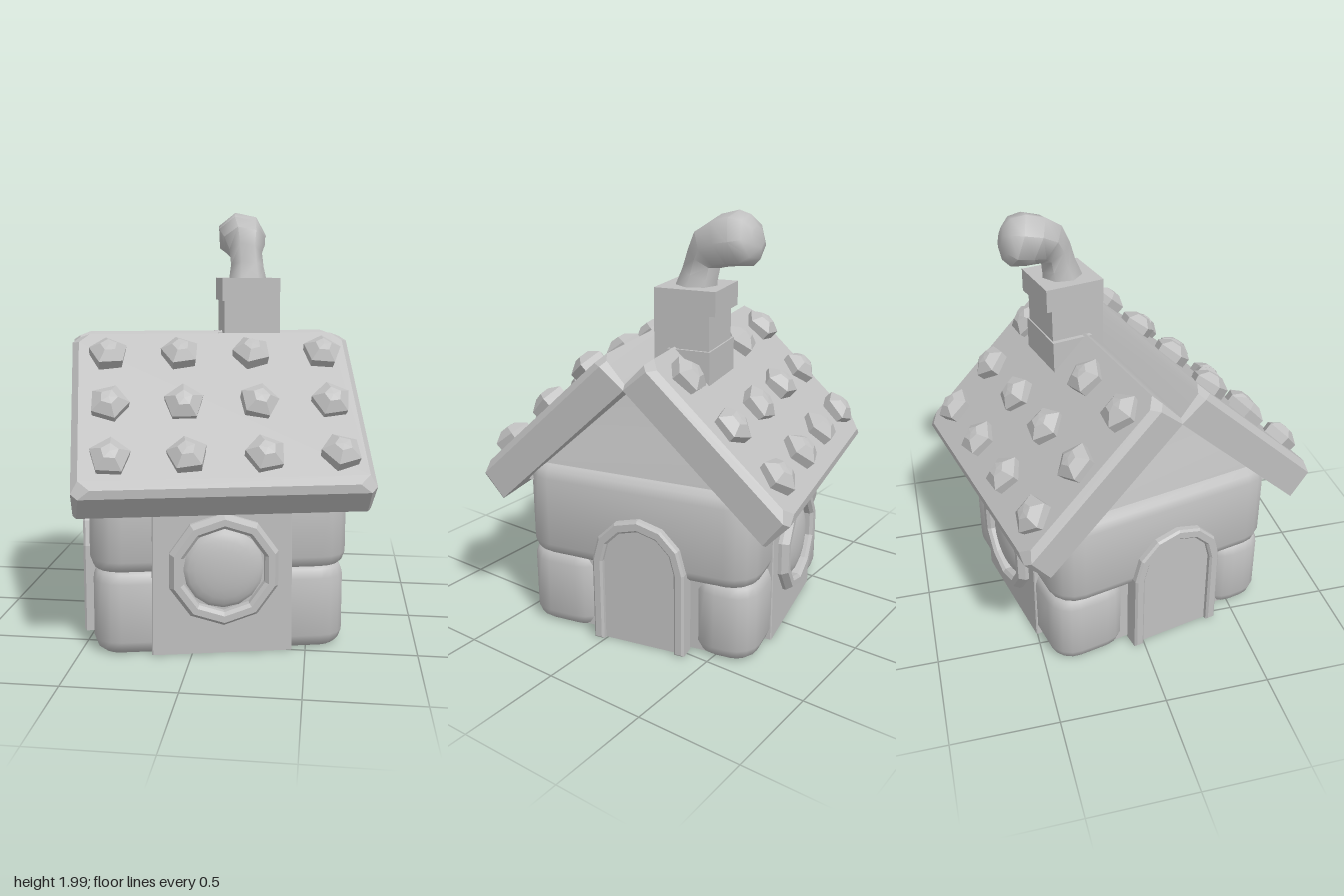
import * as THREE from 'three';
import { toCreasedNormals } from 'three/addons/utils/BufferGeometryUtils.js';

// Skin a list of equal-length rings (counter-clockwise seen from the last ring) and cap both ends.
function loft(rings) {
  const n = rings[0].length, pos = [], idx = [];
  rings.forEach(r => r.forEach(p => pos.push(p.x, p.y, p.z)));
  for (let k = 0; k < rings.length - 1; k++) for (let i = 0; i < n; i++) {
    const a = k * n + i, b = k * n + (i + 1) % n;
    idx.push(a, b, b + n, a, b + n, a + n);
  }
  const top = (rings.length - 1) * n;
  for (let i = 1; i < n - 1; i++) idx.push(0, i + 1, i, top, top + i, top + i + 1);
  const g = new THREE.BufferGeometry();
  g.setAttribute('position', new THREE.Float32BufferAttribute(pos, 3));
  g.setIndex(idx);
  return g;
}

// Rectangle with cut corners in the xz plane
function cutRect(w, d, c, y) {
  return [[w, d - c], [w, c - d], [w - c, -d], [c - w, -d], [-w, c - d], [-w, d - c], [c - w, d], [w - c, d]]
    .map(([x, z]) => new THREE.Vector3(x, y, z));
}

// Rectangle with round corners in the xz plane
function roundRect(w, d, r, y) {
  const pts = [], steps = 4;
  [[1, 1], [1, -1], [-1, -1], [-1, 1]].forEach(([sx, sz], q) => {
    for (let i = 0; i <= steps; i++) {
      const a = Math.PI / 2 * (1 - q - i / steps);
      pts.push(new THREE.Vector3(sx * (w - r) + r * Math.cos(a), y, sz * (d - r) + r * Math.sin(a)));
    }
  });
  return pts;
}

// Puffy block between two heights: soft shoulders, rounded plan
function puffBlock(w, d, r, y0, y1) {
  const profile = [[y0, 0.04], [y0 + 0.02, 0.015], [y0 + 0.06, 0], [y1 - 0.06, 0], [y1 - 0.02, 0.015], [y1, 0.04]];
  return loft(profile.map(([y, inset]) => roundRect(w - inset, d - inset, r - inset, y)));
}

// Arch outline, from lower right over the top to lower left
function archPoints(r, spring) {
  const pts = [new THREE.Vector2(r, 0.01)];
  for (let i = 0; i <= 6; i++) {
    const a = Math.PI * i / 6;
    pts.push(new THREE.Vector2(r * Math.cos(a), spring + r * Math.sin(a)));
  }
  pts.push(new THREE.Vector2(-r, 0.01));
  return pts;
}

export function createModel() {
  const grey = new THREE.MeshStandardMaterial({ color: 0xc0c0c0 });
  grey.name = 'plain grey';
  const model = new THREE.Group();
  const house = new THREE.Group();
  house.name = 'house';
  house.rotation.y = 0.227;
  model.add(house);

  const add = (parent, name, geo, x = 0, y = 0, z = 0) => {
    const m = new THREE.Mesh(geo, grey);
    m.name = name;
    m.position.set(x, y, z);
    parent.add(m);
    return m;
  };
  const crease = (g, a = 0.6) => toCreasedNormals(g, a);
  let seed = 7;
  const rand = () => (seed = (seed * 16807) % 2147483647) / 2147483647;

  // Core and puffy walls
  add(house, 'core', crease(loft([cutRect(0.535, 0.55, 0.1, 0.02), cutRect(0.535, 0.55, 0.1, 0.8)])));
  add(house, 'upperWall', crease(puffBlock(0.585, 0.58, 0.14, 0.375, 0.83), 0.8));
  for (const sx of [-1, 1]) for (const sz of [-1, 1]) {
    const depth = sx * sz > 0 ? 0.38 : 0.31; // the doors sit a little off centre
    add(house, 'cornerBlock', crease(puffBlock(0.19, depth / 2, 0.12, 0.008, 0.395), 0.8),
      sx * 0.38, 0, sz * (0.58 - depth / 2));
  }

  // Gable leaning softly inwards towards the ridge
  const gable = [[0.55, 0.56, 0.74], [0.525, 0.47, 0.85], [0.48, 0.31, 1], [0.44, 0.15, 1.15], [0.41, 0.01, 1.28]]
    .map(([w, d, y]) => cutRect(w, d, 0.005, y));
  add(house, 'gable', crease(loft(gable), 0.5));

  // Roof slab with bevelled upper rim; origin at the centre of its top face
  const slabTop = cutRect(0.625, 0.44, 0.05, 0.01);
  slabTop.forEach(p => { p.z -= 0.01; });
  const slabGeo = crease(loft([cutRect(0.65, 0.455, 0.015, -0.165), cutRect(0.655, 0.455, 0.03, -0.02), slabTop]), 0.3);
  // Five-sided sweet
  const dropGeo = new THREE.LatheGeometry(
    [[0.086, -0.02], [0.092, 0.05], [0.04, 0.085], [0, 0.088]].map(p => new THREE.Vector2(...p)), 5);
  const drop = crease(dropGeo, 0.1);

  // Window ring with a chamfered section
  const ringGeo = new THREE.LatheGeometry(
    [[0.255, -0.06], [0.255, 0.02], [0.235, 0.05], [0.205, 0.05], [0.19, 0.035], [0.19, -0.06]]
      .map(p => new THREE.Vector2(...p)), 10);
  ringGeo.rotateX(Math.PI / 2);
  const ring = crease(ringGeo, 0.3);
  const dome = new THREE.SphereGeometry(0.185, 16, 6, 0, Math.PI * 2, 0, Math.PI / 2);
  dome.scale(1, 0.3, 1);
  dome.rotateX(Math.PI / 2);

  // Front and back halves: slab, sweets, window
  for (const side of [0, 1]) {
    const half = new THREE.Group();
    half.name = side ? 'backHalf' : 'frontHalf';
    half.rotation.y = side * Math.PI;
    house.add(half);

    const roof = new THREE.Group();
    roof.name = 'roof';
    roof.position.set(0, 1.092, 0.432);
    roof.rotation.x = 0.757;
    half.add(roof);
    add(roof, 'roofSlab', slabGeo);
    for (let row = 0; row < 3; row++) for (let col = 0; col < 4; col++) {
      if (side && row === 0 && col === 1) continue; // chimney stands here
      const d = add(roof, 'sweet', drop, -0.49 + col / 3, 0, -0.305 + row * 0.29);
      d.rotation.set((rand() - 0.5) * 0.3, rand() * 6.28, (rand() - 0.5) * 0.3);
    }

    const panel = loft([cutRect(0.315, 0.05, 0.005, 0), cutRect(0.31, 0.045, 0.005, 0.75)]);
    add(half, 'windowPanel', crease(panel, 0.3), 0, 0.01, 0.54);
    add(half, 'windowFrame', ring, 0.005, 0.4, 0.585);
    add(half, 'windowPane', dome, 0.005, 0.4, 0.575);
  }

  // Doors on both gable ends
  const outer = archPoints(0.23, 0.425), inner = archPoints(0.18, 0.42);
  const frameGeo = new THREE.ExtrudeGeometry(new THREE.Shape([...outer, ...inner.slice().reverse()]),
    { depth: 0.08, bevelEnabled: true, bevelThickness: 0.01, bevelSize: 0.01, bevelOffset: -0.01, bevelSegments: 1 });
  const doorGeo = new THREE.ExtrudeGeometry(new THREE.Shape(archPoints(0.19, 0.42)),
    { depth: 0.07, bevelEnabled: false });
  for (const s of [-1, 1]) {
    const door = new THREE.Group();
    door.name = s > 0 ? 'leftDoor' : 'rightDoor';
    door.rotation.y = s * Math.PI / 2;
    door.position.z = -s * 0.035;
    house.add(door);
    add(door, 'doorFrame', frameGeo, 0, 0, 0.53);
    add(door, 'doorPanel', doorGeo, 0, 0, 0.522);
  }

  // Chimney, flush at the front and stepped at the back
  const chimney = new THREE.Group();
  chimney.name = 'chimney';
  chimney.position.set(0.21, 0, -0.157);
  house.add(chimney);
  add(chimney, 'chimneyBase', new THREE.BoxGeometry(0.31, 0.2, 0.2), 0, 1.3, -0.025);
  add(chimney, 'chimneyStack', new THREE.BoxGeometry(0.275, 0.36, 0.262), 0.005, 1.38, 0.014);
  add(chimney, 'chimneyCap', new THREE.BoxGeometry(0.285, 0.11, 0.29), 0, 1.612, 0);

  // Smoke puff: seven-sided rings along a bending path, [x, y, z, radius, tilt]
  const puff = [
    [0.17, 1.64, -0.2, 0.1, 0.15], [0.165, 1.72, -0.22, 0.085, 0.35], [0.155, 1.79, -0.235, 0.085, 0.6],
    [0.145, 1.835, -0.265, 0.108, 0.95], [0.125, 1.865, -0.33, 0.123, 1.15], [0.12, 1.88, -0.41, 0.128, 1.25],
    [0.12, 1.89, -0.46, 0.1, 1.3], [0.12, 1.895, -0.485, 0.05, 1.3],
  ].map(([x, y, z, r, tilt]) => Array.from({ length: 7 }, (_, i) => {
    const a = -i / 7 * Math.PI * 2;
    return new THREE.Vector3(r * Math.cos(a), 0, r * Math.sin(a))
      .applyAxisAngle(new THREE.Vector3(1, 0, 0), -tilt).add(new THREE.Vector3(x, y, z));
  }));
  add(model, 'smoke', crease(loft(puff), 0.95));

  return model;
}
